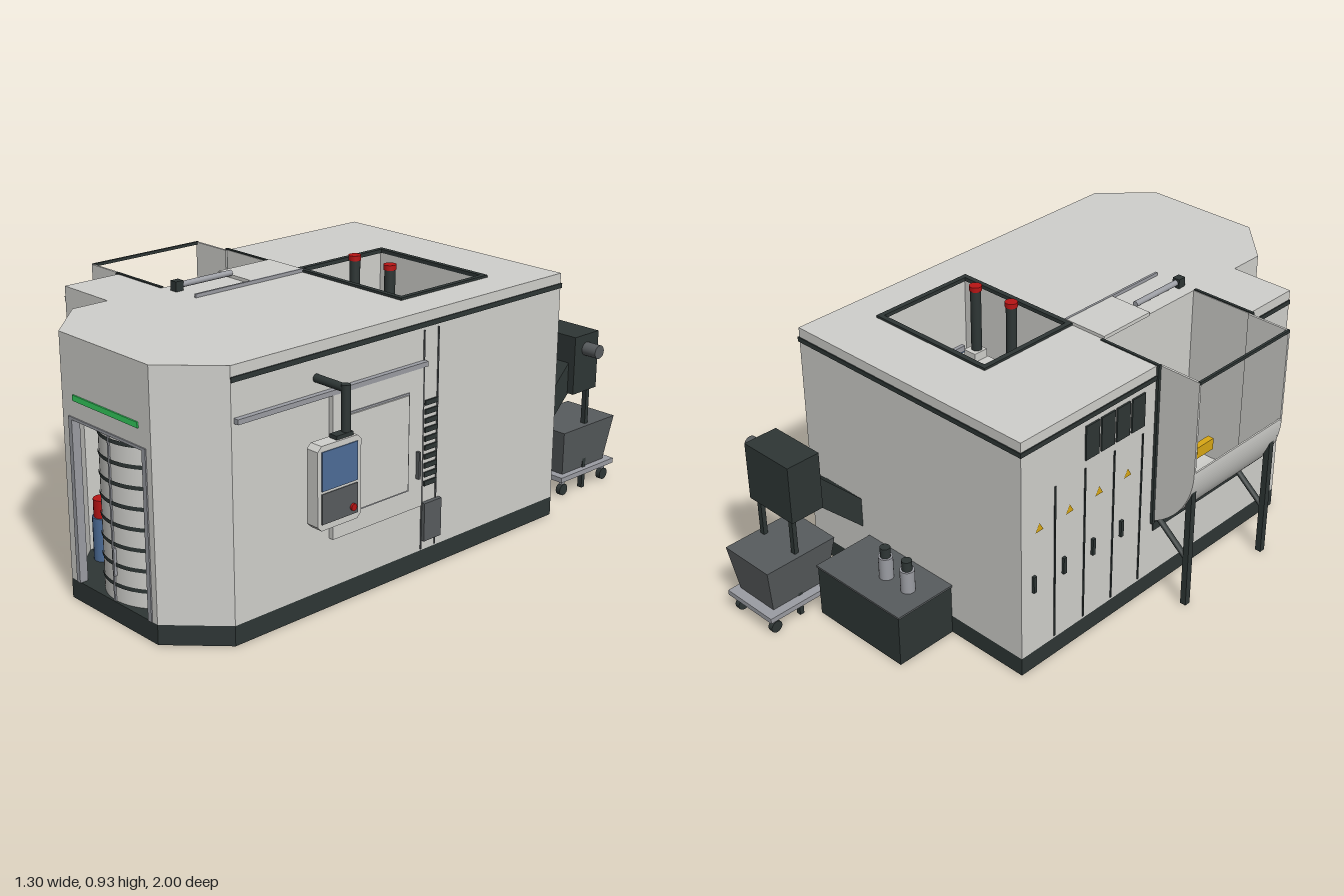
import * as THREE from 'three';

const mat = (name, color, extra = {}) => Object.assign(new THREE.MeshStandardMaterial({ color, ...extra }), { name });

export function createModel() {
  const M = {
    panel: mat('light grey panel', 0xd0d0cc, { side: THREE.DoubleSide }),
    dark: mat('dark base', 0x2e3635),
    mid: mat('mid grey', 0x585c5e),
    steel: mat('steel', 0x9b9da3),
    blue: mat('blue', 0x4d6d98),
    green: mat('green light', 0x35d060),
    red: mat('red', 0xb81414),
    yellow: mat('yellow', 0xd9a814),
  };
  const model = new THREE.Group();
  const add = (name, geo, m, parent = model) => {
    const mesh = new THREE.Mesh(geo, M[m]);
    mesh.name = name;
    parent.add(mesh);
    return mesh;
  };
  // box and cylinder given by their extents
  const box = (name, m, x0, x1, y0, y1, z0, z1) => {
    const b = add(name, new THREE.BoxGeometry(x1 - x0, y1 - y0, z1 - z0), m);
    b.position.set((x0 + x1) / 2, (y0 + y1) / 2, (z0 + z1) / 2);
    return b;
  };
  const rod = (name, m, a, b, r, sides = 20) => {
    const p = new THREE.Vector3(...a), q = new THREE.Vector3(...b), d = q.clone().sub(p);
    const c = add(name, new THREE.CylinderGeometry(r, r, d.length(), sides), m);
    c.position.copy(p).add(q).multiplyScalar(0.5);
    c.quaternion.setFromUnitVectors(new THREE.Vector3(0, 1, 0), d.normalize());
    return c;
  };
  const poly = (pts) => new THREE.Shape(pts.map(([x, y]) => new THREE.Vector2(x, y)));
  // floor plan of [x, z] points raised from y0 to y1
  const raise = (name, m, pts, y0, y1, hole) => {
    const flip = (list) => list.map(([x, z]) => [x, -z]);
    const s = poly(flip(pts));
    if (hole) s.holes.push(poly(flip(hole)));
    const g = new THREE.ExtrudeGeometry(s, { depth: y1 - y0, bevelEnabled: false });
    return add(name, g.rotateX(-Math.PI / 2).translate(0, y0, 0), m);
  };
  // side profile in x, y, pushed along z
  const pushZ = (name, m, shape, z0, z1) => add(name, new THREE.ExtrudeGeometry(shape,
    { depth: z1 - z0, bevelEnabled: false, curveSegments: 24 }).translate(0, 0, z0), m);

  // housing: floor plan with the loading bay, front doorway and roof hatch cut out
  const start = [[-0.49, -0.58]];
  const bay = [[-0.49, 0.03], [-0.26, 0.03], [-0.26, 0.48], [-0.49, 0.48]];
  const left = [[-0.49, 0.7], [-0.26, 0.7], [-0.26, 0.83], [-0.1, 0.99]];
  const doorway = [[-0.06, 0.99], [-0.06, 0.97], [-0.1, 0.97], [-0.23, 0.83], [-0.23, 0.58],
    [0.45, 0.58], [0.45, 0.83], [0.32, 0.97], [0.3, 0.97], [0.3, 0.99]];
  const right = [[0.33, 0.99], [0.49, 0.83], [0.49, -0.58]];
  const hatch = [[-0.12, -0.35], [0.35, -0.35], [0.35, 0.02], [-0.12, 0.02]];
  raise('base', 'dark', [...start, ...left, ...right], 0, 0.065);
  raise('lowerHousing', 'panel', [...start, ...left, ...doorway, ...right], 0.065, 0.24);
  raise('middleHousing', 'panel', [...start, ...bay, ...left, ...doorway, ...right], 0.24, 0.605, hatch);
  raise('upperHousing', 'panel', [...start, ...bay, ...left, ...right], 0.605, 0.86, hatch);

  // dark band under the roof
  box('rightBand', 'dark', 0.488, 0.494, 0.81, 0.826, -0.584, 0.83);
  box('backBand', 'dark', -0.494, 0.494, 0.81, 0.826, -0.584, -0.578);
  box('leftBand', 'dark', -0.494, -0.488, 0.81, 0.826, -0.584, 0.03);
  box('leftFrontBand', 'dark', -0.494, -0.488, 0.81, 0.826, 0.48, 0.7);

  // curved front doors with slats
  const doorArc = (name, m, r, y0, y1) => {
    const g = new THREE.CylinderGeometry(r, r, y1 - y0, 32, 1, true, -1.25, 2.5);
    add(name, g, m).position.set(0.12, (y0 + y1) / 2, 0.805);
  };
  doorArc('curvedDoor', 'panel', 0.178, 0.065, 0.603);
  for (let i = 0; i < 8; i++) doorArc('doorSlat', 'dark', 0.181, 0.115 + i * 0.0655, 0.128 + i * 0.0655);
  box('doorSeam', 'steel', 0.115, 0.122, 0.065, 0.6, 0.98, 0.988);
  box('doorHandle', 'steel', 0.123, 0.13, 0.15, 0.24, 0.98, 0.992);
  for (const x of [-0.068, 0.29]) box('doorJamb', 'steel', x, x + 0.017, 0.065, 0.605, 0.965, 0.994);
  box('doorLintel', 'steel', -0.068, 0.307, 0.597, 0.606, 0.985, 0.994);
  box('lightStrip', 'green', -0.04, 0.275, 0.66, 0.678, 0.988, 0.995);
  rod('fixture', 'blue', [-0.15, 0.065, 0.83], [-0.15, 0.21, 0.83], 0.035);
  rod('fixtureCap', 'red', [-0.15, 0.21, 0.83], [-0.15, 0.27, 0.83], 0.03);

  // roof hatch with the working space below it
  for (const z of [-0.365, 0.015]) box('hatchFrame', 'dark', -0.13, 0.36, 0.855, 0.868, z, z + 0.018);
  for (const x of [-0.13, 0.342]) box('hatchFrame', 'dark', x, x + 0.018, 0.855, 0.868, -0.365, 0.033);
  for (const x of [-0.115, 0.28]) {
    box('slideColumn', 'blue', x, x + 0.065, 0.24, 0.62, -0.345, -0.02);
    for (const z of [-0.3, -0.2, -0.11]) box('slideRail', 'dark', x, x + 0.065, 0.62, 0.63, z, z + 0.008);
    box('slideGuide', 'steel', x + 0.025, x + 0.04, 0.62, 0.64, -0.34, -0.03);
  }
  box('crossBeam', 'blue', -0.05, 0.28, 0.45, 0.58, -0.265, -0.23);
  box('rearBeam', 'panel', -0.05, 0.28, 0.5, 0.6, -0.22, -0.19);
  box('spindleBlock', 'panel', -0.02, 0.25, 0.45, 0.66, -0.165, -0.05);
  box('stopSwitch', 'red', 0.335, 0.35, 0.6, 0.65, -0.2, -0.15);
  for (const x of [0.037, 0.199]) {
    box('beaconFoot', 'panel', x - 0.025, x + 0.025, 0.66, 0.69, -0.11, -0.055);
    rod('beaconPost', 'dark', [x, 0.69, -0.077], [x, 0.91, -0.077], 0.018);
    rod('beaconCap', 'red', [x, 0.908, -0.077], [x, 0.925, -0.077], 0.021);
  }

  // loading hopper on the right flank
  const cx = -0.367, cy = 0.53, R = 0.283;
  const edge = Math.PI + Math.acos((cx + 0.49) / R);
  const cheek = new THREE.Shape();
  cheek.moveTo(-0.49, 0.86);
  cheek.lineTo(-0.65, 0.86);
  cheek.lineTo(-0.65, cy);
  cheek.absarc(cx, cy, R, Math.PI, edge, false);
  cheek.lineTo(-0.49, 0.86);
  for (const z of [0.028, 0.474]) pushZ('hopperCheek', 'panel', cheek, z, z + 0.008);
  const trough = new THREE.Shape();
  trough.absarc(cx, cy, R, Math.PI, Math.PI * 1.5, false);
  trough.lineTo(-0.26, cy - R);
  trough.lineTo(-0.26, cy - R + 0.006);
  trough.absarc(cx, cy, R - 0.006, Math.PI * 1.5, Math.PI, true);
  pushZ('hopperTrough', 'panel', trough, 0.033, 0.478);
  box('hopperRail', 'dark', -0.652, -0.643, 0.852, 0.862, 0.03, 0.48);
  box('hopperSill', 'dark', -0.494, -0.486, 0.235, 0.268, 0.03, 0.48);
  for (const z of [0.018, 0.482]) {
    box('hopperPost', 'dark', -0.5, -0.488, 0.27, 0.862, z, z + 0.012);
    box('roofTrim', 'dark', -0.5, -0.26, 0.855, 0.864, z, z + 0.01);
  }
  for (const z of [0.05, 0.455]) {
    box('hopperLeg', 'dark', -0.637, -0.615, 0, 0.46, z - 0.011, z + 0.011);
    rod('hopperBrace', 'dark', [-0.62, 0.18, z], [-0.487, 0.29, z], 0.01, 8);
  }
  box('loaderArm', 'yellow', -0.6, -0.265, 0.555, 0.575, 0.095, 0.113);
  box('loaderFinger', 'yellow', -0.61, -0.588, 0.54, 0.58, 0.09, 0.17);
  rod('loaderKnob', 'red', [-0.3, 0.55, 0.065], [-0.3, 0.6, 0.065], 0.02);

  // sliding roof cover and its piston
  box('roofCover', 'panel', -0.265, -0.1, 0.858, 0.871, 0.03, 0.25);
  box('roofRail', 'steel', -0.104, -0.096, 0.858, 0.872, 0.03, 0.48);
  rod('piston', 'steel', [-0.203, 0.877, 0.25], [-0.203, 0.877, 0.46], 0.01);
  box('pistonMount', 'dark', -0.218, -0.19, 0.858, 0.893, 0.455, 0.485);

  // side service door, rail and vent column
  box('sideRail', 'steel', 0.488, 0.508, 0.688, 0.704, 0.06, 0.82);
  box('sideDoor', 'panel', 0.488, 0.508, 0.23, 0.688, 0.08, 0.46);
  box('sideDoorFrame', 'steel', 0.505, 0.511, 0.298, 0.622, 0.143, 0.405);
  box('sideDoorWindow', 'panel', 0.505, 0.516, 0.304, 0.616, 0.149, 0.399);
  box('sideDoorHandle', 'mid', 0.508, 0.522, 0.33, 0.42, 0.1, 0.108);
  for (const z of [-0.003, 0.06]) box('ventColumnEdge', 'mid', 0.488, 0.493, 0.07, 0.8, z, z + 0.005);
  for (let i = 0; i < 10; i++) box('sideVent', 'dark', 0.488, 0.496, 0.285 + i * 0.03, 0.301 + i * 0.03, 0, 0.055);
  box('sideBox', 'mid', 0.488, 0.505, 0.1, 0.23, -0.015, 0.062);

  // control panel on a swing arm
  rod('panelArm', 'dark', [0.488, 0.75, 0.51], [0.618, 0.75, 0.51], 0.013);
  rod('panelDrop', 'dark', [0.615, 0.61, 0.51], [0.615, 0.763, 0.51], 0.014);
  box('panelBracket', 'dark', 0.6, 0.63, 0.605, 0.622, 0.495, 0.56);
  const outline = poly([[0.485, 0.35], [0.625, 0.35], [0.64, 0.365], [0.64, 0.595], [0.625, 0.61],
    [0.485, 0.61], [0.47, 0.595], [0.47, 0.365]]);
  const caseGeo = new THREE.ExtrudeGeometry(outline, { depth: 0.045, bevelEnabled: false });
  add('controlPanel', caseGeo.rotateY(-Math.PI / 2).translate(0.637, 0, 0), 'panel');
  box('screen', 'blue', 0.634, 0.64, 0.472, 0.592, 0.485, 0.625);
  box('keypad', 'mid', 0.634, 0.64, 0.37, 0.464, 0.485, 0.625);
  rod('stopButton', 'red', [0.635, 0.393, 0.505], [0.647, 0.393, 0.505], 0.011);

  // electrical cabinet doors
  const tri = new THREE.CircleGeometry(0.02, 3).rotateZ(Math.PI / 2).rotateY(-Math.PI / 2);
  for (let i = 0; i < 4; i++) {
    const z = -0.435 + i * 0.133;
    box('cabinetSeam', 'dark', -0.493, -0.488, 0.075, 0.64, z - 0.003, z + 0.003);
    box('cabinetHandle', 'dark', -0.5, -0.488, 0.3, 0.36, z - 0.1, z - 0.088);
    add('warningSign', tri, 'yellow').position.set(-0.493, 0.525, z - 0.07);
    const v = -0.305 + i * 0.07;
    box('cabinetVent', 'dark', -0.496, -0.488, 0.67, 0.79, v, v + 0.06);
  }

  // coolant tank with pumps
  box('coolantTank', 'dark', -0.18, 0.2, 0, 0.185, -0.805, -0.578);
  box('tankLid', 'mid', -0.185, 0.205, 0.183, 0.19, -0.808, -0.578);
  for (const x of [-0.1, 0]) {
    rod('pump', 'steel', [x, 0.19, -0.69], [x, 0.27, -0.69], 0.024);
    rod('pumpTop', 'dark', [x, 0.27, -0.69], [x, 0.305, -0.69], 0.017);
  }

  // chip conveyor
  const ramp = new THREE.ExtrudeGeometry(poly([[0.57, 0.2], [0.76, 0.385], [0.76, 0.5], [0.57, 0.31]]),
    { depth: 0.17, bevelEnabled: false });
  add('conveyorRamp', ramp.rotateY(Math.PI / 2).translate(0.235, 0, 0), 'dark');
  box('conveyorHead', 'dark', 0.22, 0.43, 0.38, 0.587, -0.875, -0.75);
  rod('conveyorMotor', 'mid', [0.43, 0.535, -0.812], [0.487, 0.535, -0.812], 0.024);
  for (const x of [0.24, 0.395]) box('conveyorLeg', 'dark', x, x + 0.018, 0, 0.38, -0.862, -0.846);

  // chip bin on a wheeled cart
  const bin = new THREE.BoxGeometry(0.21, 0.165, 0.275);
  const p = bin.attributes.position;
  for (let i = 0; i < p.count; i++) {
    if (p.getY(i) < 0) p.setXYZ(i, p.getX(i) * 0.8, p.getY(i), p.getZ(i) * 0.82);
  }
  bin.computeVertexNormals();
  add('chipBin', bin, 'mid').position.set(0.325, 0.162, -0.852);
  box('cartDeck', 'steel', 0.21, 0.43, 0.06, 0.078, -1, -0.712);
  for (const x of [0.235, 0.405]) for (const z of [-0.745, -0.968]) {
    rod('cartWheel', 'dark', [x - 0.009, 0.021, z], [x + 0.009, 0.021, z], 0.021);
    box('wheelFork', 'steel', x - 0.006, x + 0.006, 0.035, 0.062, z - 0.008, z + 0.008);
  }
  return model;
}
